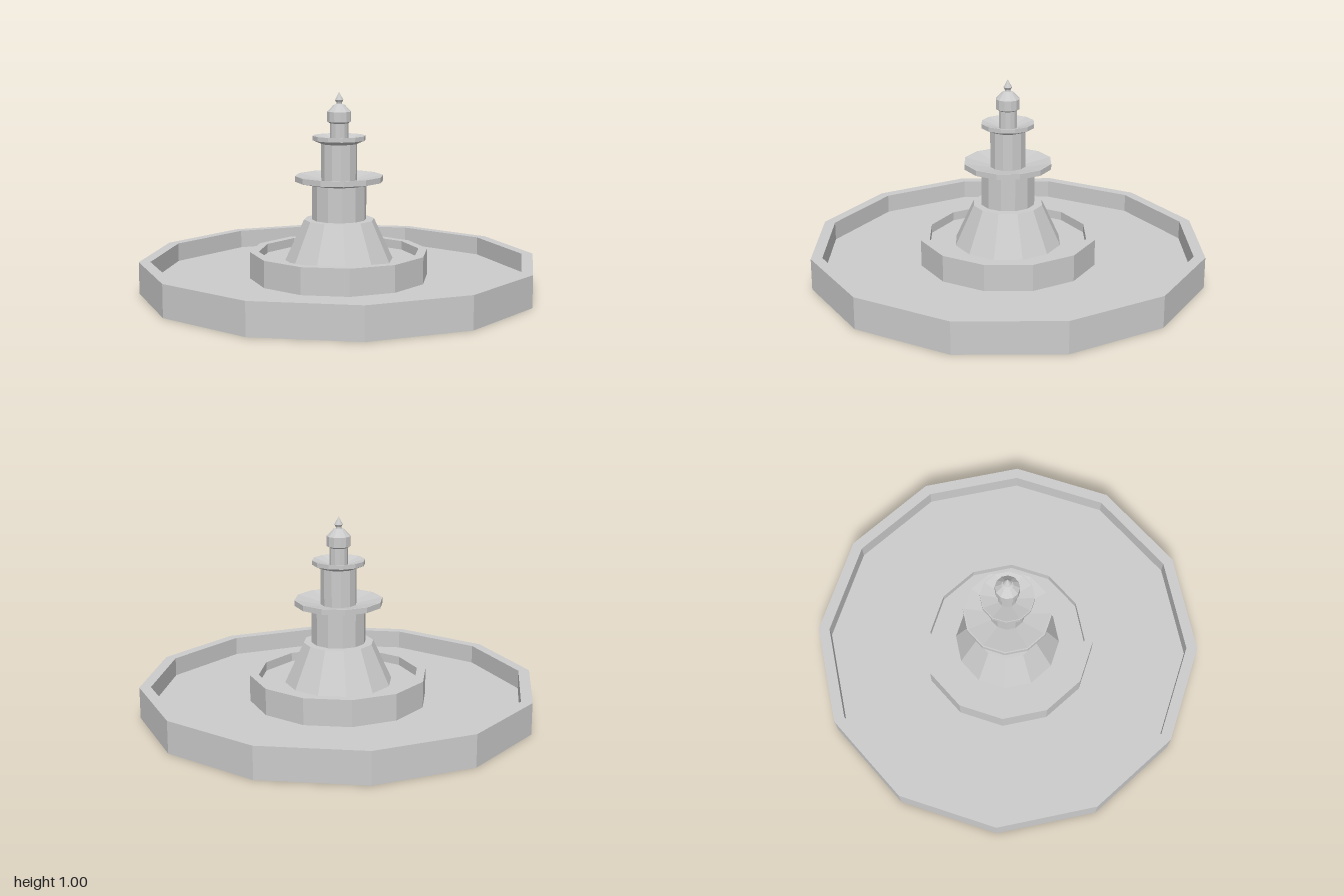
import * as THREE from 'three';

const SIDES = 12;
const stone = new THREE.MeshStandardMaterial({ color: 0xcccccc, flatShading: true });

// Faceted turned part: profile of [radius, height] pairs, running bottom to top on the outside
function turned(name, profile) {
  const points = profile.map(([r, y]) => new THREE.Vector2(r, y));
  const mesh = new THREE.Mesh(new THREE.LatheGeometry(points, SIDES), stone);
  mesh.name = name;
  return mesh;
}

// Dished bowl with a sloped underside, a vertical rim and a sunken top
function bowl(name, radius, stem, innerStem, y, rim) {
  return turned(name, [
    [stem, y - rim - 0.018], [radius, y - rim], [radius, y],
    [radius * 0.97, y], [innerStem, y - 0.025], [0, y - 0.025],
  ]);
}

export function createModel() {
  const group = new THREE.Group();
  group.name = 'fountain';

  group.add(
    // Wide pool: closed underside, wall, rim and floor
    turned('poolBasin', [[0, 0], [1, 0], [1, 0.16], [0.943, 0.16], [0.943, 0.065], [0, 0.065]]),
    // Raised inner pool
    turned('innerBasin', [[0.45, 0.065], [0.45, 0.2], [0.405, 0.2], [0.405, 0.155], [0, 0.155]]),
    // Tapered foot and lower column
    turned('pedestal', [[0.272, 0.155], [0.177, 0.36], [0.137, 0.36]]),
    turned('lowerColumn', [[0.137, 0.36], [0.137, 0.545]]),
    bowl('lowerBowl', 0.222, 0.137, 0.09, 0.58, 0.028),
    turned('upperColumn', [[0.09, 0.55], [0.09, 0.75]]),
    bowl('upperBowl', 0.133, 0.09, 0.046, 0.78, 0.022),
    // Spire with a collar and a pointed finial
    turned('spire', [
      [0.046, 0.75], [0.046, 0.842], [0.06, 0.85], [0.06, 0.9],
      [0.028, 0.933], [0.014, 0.938], [0.014, 0.95],
    ]),
    turned('finial', [[0.014, 0.945], [0.021, 0.957], [0, 0.997]]),
  );
  return group;
}
